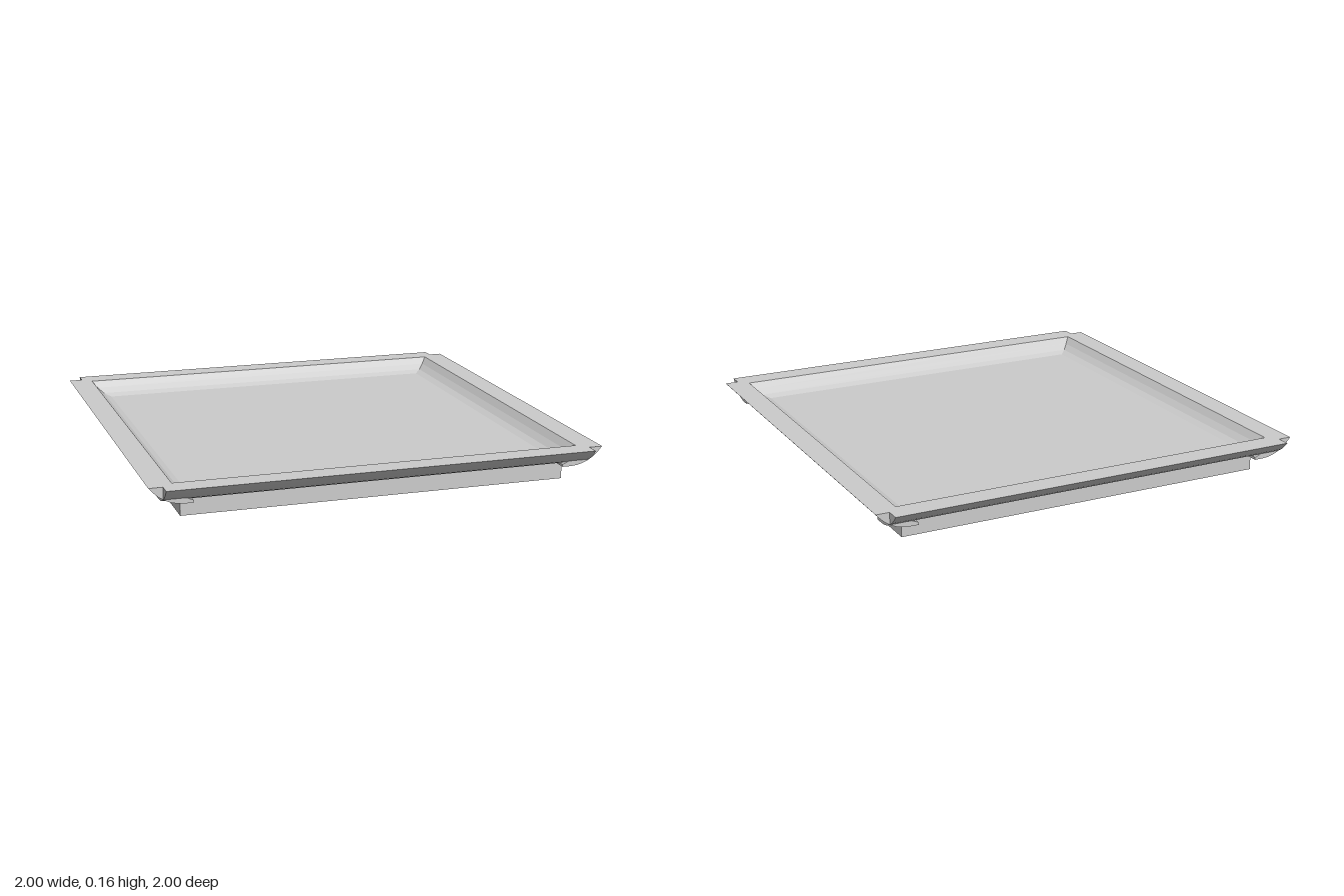
import * as THREE from 'three';

const TOP = 0.157, SEAT = 0.08, FLOOR = 0.091; // heights of rim, base top and tray floor
const BASE = 0.853, NOTCH = 0.94;             // half widths of base and rim strips

// Cross-section of one rim strip: x runs outward, y up
function rimProfile() {
  const s = new THREE.Shape();
  s.moveTo(0.815, SEAT);
  s.lineTo(BASE, SEAT);
  // convex outer underside, tangent to the base and flaring out to the lip
  const r = 0.175, end = Math.asin((1 - BASE) / r), steps = 6;
  for (let i = 1; i < steps; i++) {
    const a = (end * i) / steps;
    s.lineTo(BASE + r * Math.sin(a), SEAT + r * (1 - Math.cos(a)));
  }
  s.lineTo(1, TOP);
  // flat lip, then the hollow inner slope down to the floor
  s.lineTo(0.895, TOP);
  s.lineTo(0.872, 0.127);
  s.lineTo(0.846, 0.104);
  s.lineTo(0.815, FLOOR);
  s.closePath();
  return s;
}

export function createModel() {
  const model = new THREE.Group();
  model.name = 'tray';
  const material = new THREE.MeshStandardMaterial({ color: 0xcccccc, flatShading: true });

  const add = (name, geometry, y = 0) => {
    const mesh = new THREE.Mesh(geometry, material);
    mesh.name = name;
    mesh.position.y = y;
    model.add(mesh);
    return mesh;
  };

  // Square foot and the thin floor above it
  add('base', new THREE.BoxGeometry(2 * BASE, SEAT, 2 * BASE), SEAT / 2);
  add('trayFloor', new THREE.BoxGeometry(1.63, FLOOR - SEAT, 1.63), (FLOOR + SEAT) / 2);

  // Four crossing rim strips; their short ends leave the corner notches
  const strip = new THREE.ExtrudeGeometry(rimProfile(), { depth: 2 * NOTCH, bevelEnabled: false });
  strip.translate(0, 0, -NOTCH);
  ['leftRim', 'backRim', 'rightRim', 'frontRim'].forEach((name, i) => {
    add(name, strip).rotation.y = (i * Math.PI) / 2;
  });

  return model;
}
